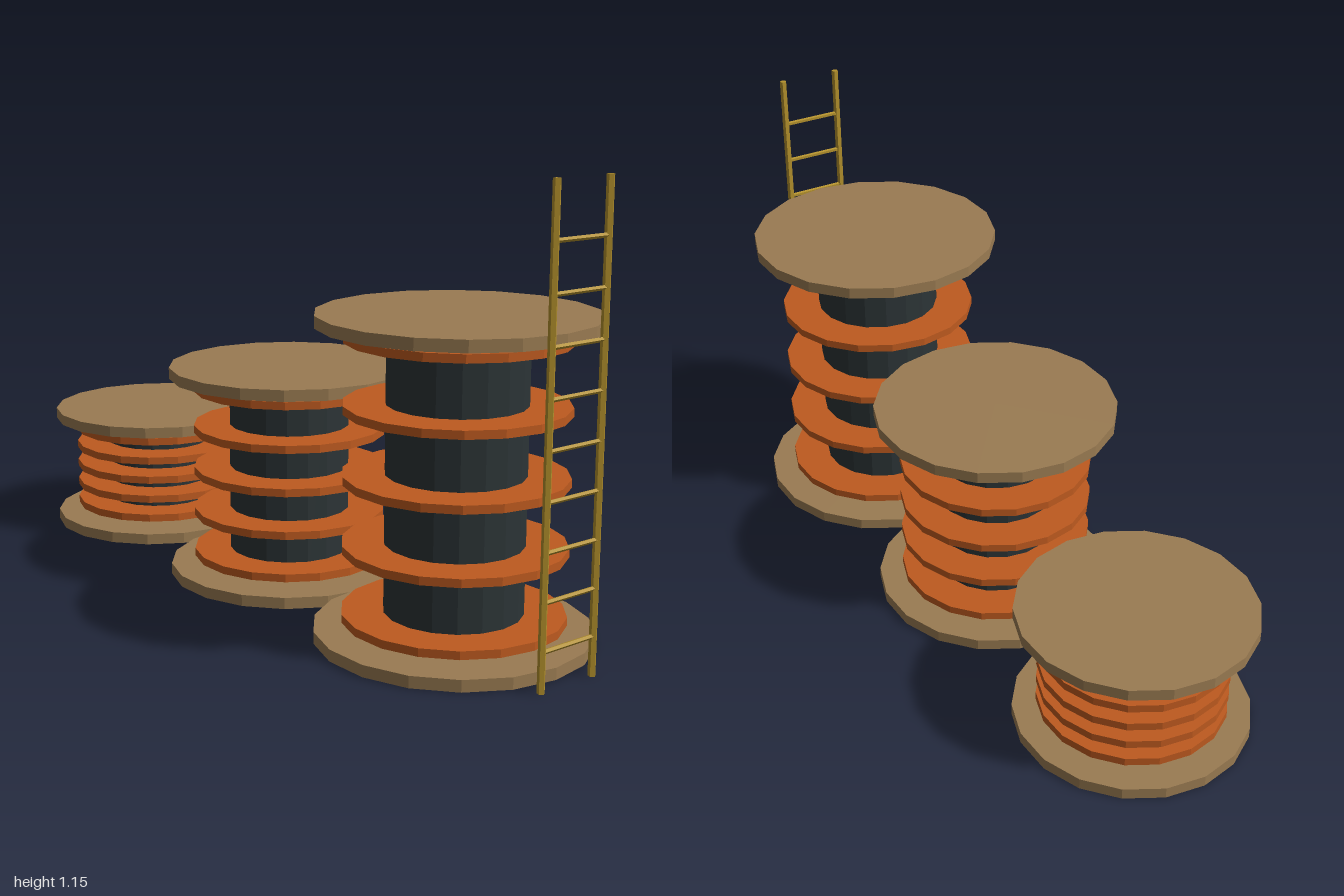
import * as THREE from 'three';

function material(name, color) {
  const m = new THREE.MeshStandardMaterial({ color, flatShading: true });
  m.name = name;
  return m;
}

function addCylinder(parent, name, radius, height, sides, mat, x, y, z) {
  const mesh = new THREE.Mesh(new THREE.CylinderGeometry(radius, radius, height, sides), mat);
  mesh.name = name;
  mesh.position.set(x, y, z);
  parent.add(mesh);
  return mesh;
}

export function createModel() {
  const wood = material('wood', 0x9a7b52);
  const cable = material('orangeCable', 0xbe5a1f);
  const dark = material('darkCore', 0x2c3436);
  const brass = material('brass', 0xb4912c);
  const model = new THREE.Group();
  model.name = 'cableSpools';

  const SIDES = 18;
  const FLANGE = 0.03;

  // Spool: two wooden flanges, a dark core and five evenly spaced cable rings
  function addSpool(name, z, radius, height) {
    const spool = new THREE.Group();
    spool.name = name;
    spool.position.z = z;
    addCylinder(spool, 'bottomFlange', radius, FLANGE, SIDES, wood, 0, FLANGE / 2, 0);
    addCylinder(spool, 'topFlange', radius, FLANGE, SIDES, wood, 0, height - FLANGE / 2, 0);
    addCylinder(spool, 'core', radius * 0.5, height - 2 * FLANGE, SIDES, dark, 0, height / 2, 0);
    const low = 0.06, high = height - 0.056;
    for (let i = 0; i < 5; i++) {
      const y = low + (high - low) * i / 4;
      addCylinder(spool, 'cableRing', radius * 0.8, 0.021, SIDES, cable, 0, y, 0);
    }
    model.add(spool);
  }
  addSpool('tallSpool', 0.613, 0.345, 0.806);
  addSpool('middleSpool', -0.041, 0.325, 0.576);
  addSpool('shortSpool', -0.695, 0.305, 0.346);

  // Ladder: two rails and nine rungs
  const ladder = new THREE.Group();
  ladder.name = 'ladder';
  ladder.position.z = 0.99;
  for (const x of [-0.084, 0.084]) {
    addCylinder(ladder, 'rail', 0.0098, 1.153, 5, brass, x, 0.5765, 0);
  }
  for (let i = 0; i < 9; i++) {
    const rung = addCylinder(ladder, 'rung', 0.006, 0.168, 5, brass, 0, 0.097 + 0.1154 * i, 0);
    rung.rotation.z = Math.PI / 2;
  }
  model.add(ladder);

  return model;
}
